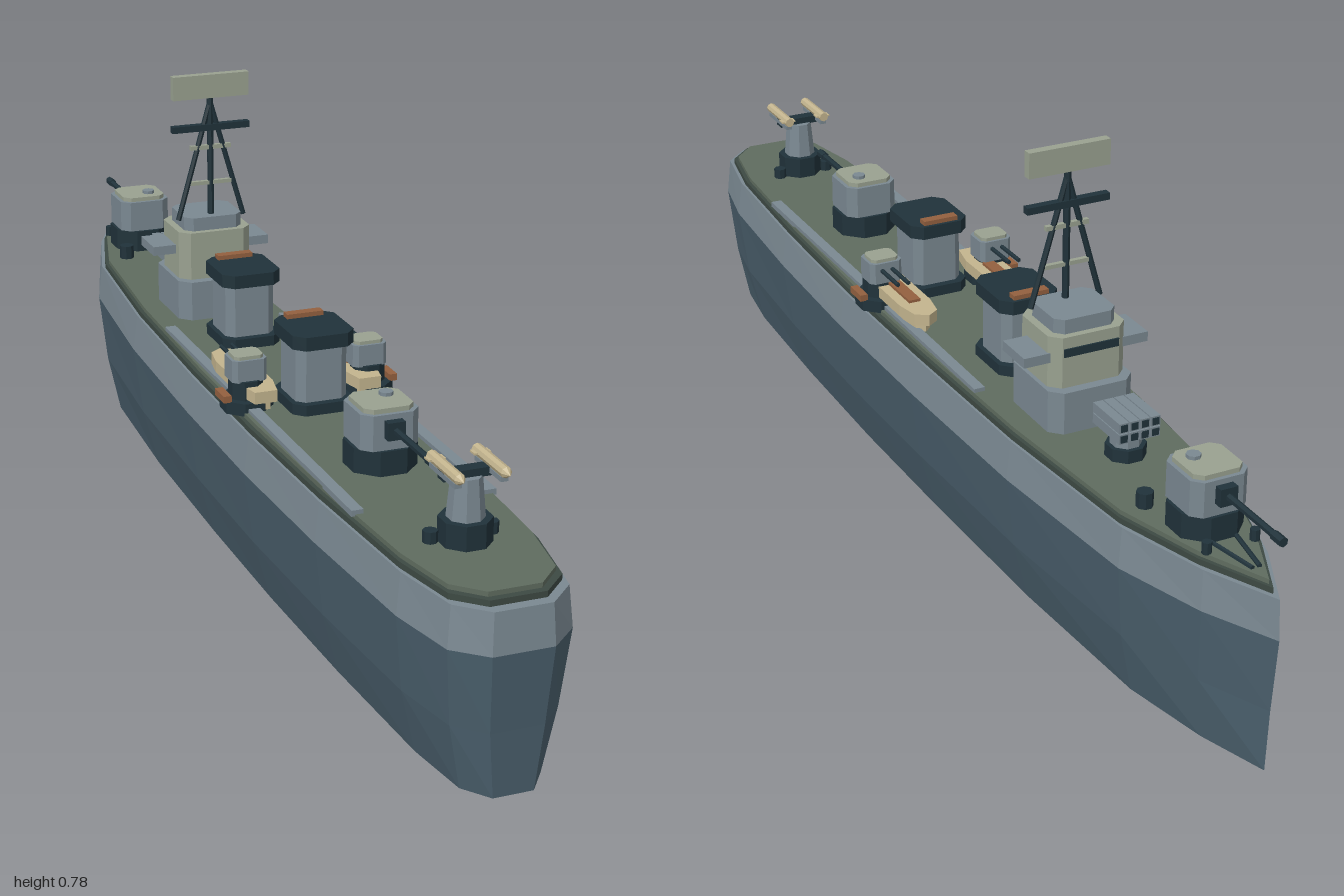
import * as THREE from 'three';

const mat = (name, color) => Object.assign(new THREE.MeshStandardMaterial({ color }), { name });
const M = {
  lower: mat('lower hull blue', 0x4a5f6c),
  grey: mat('ship grey', 0x7a8891),
  deck: mat('deck green', 0x5f6c5f),
  rim: mat('rim green', 0x3d4943),
  dark: mat('dark steel', 0x20323a),
  pale: mat('pale green grey', 0x99a190),
  cream: mat('cream', 0xc3b48e),
  rust: mat('rust orange', 0x93603f),
};

// Faceted mesh
function add(parent, name, geo, material, x = 0, y = 0, z = 0) {
  const g = geo.index ? geo.toNonIndexed() : geo;
  g.computeVertexNormals();
  const m = new THREE.Mesh(g, material);
  m.name = name;
  m.position.set(x, y, z);
  parent.add(m);
  return m;
}
const box = (p, name, m, w, h, d, x, y, z) => add(p, name, new THREE.BoxGeometry(w, h, d), m, x, y, z);
const cyl = (p, name, m, r, y0, y1, x, z, n = 8, rTop = r) =>
  add(p, name, new THREE.CylinderGeometry(rTop, r, y1 - y0, n).rotateY(Math.PI / n), m, x, (y0 + y1) / 2, z);

// Upright prism over an [x, z] outline
function prism(p, name, m, pts, y0, y1, x = 0, z = 0) {
  const shape = new THREE.Shape(pts.map(([a, b]) => new THREE.Vector2(a, -b)));
  const geo = new THREE.ExtrudeGeometry(shape, { depth: y1 - y0, bevelEnabled: false });
  return add(p, name, geo.rotateX(-Math.PI / 2), m, x, y0, z);
}
// Block with cut corners; w and d are half sizes
const chamfer = (w, d, c) => [[w - c, -d], [w, -d + c], [w, d - c], [w - c, d],
  [-w + c, d], [-w, d - c], [-w, -d + c], [-w + c, -d]];

// Round bar between two points
function bar(p, name, m, a, b, r, n = 6) {
  const A = new THREE.Vector3(...a), B = new THREE.Vector3(...b);
  const mesh = add(p, name, new THREE.CylinderGeometry(r, r, A.distanceTo(B), n), m);
  mesh.position.copy(A).add(B).multiplyScalar(0.5);
  mesh.quaternion.setFromUnitVectors(new THREE.Vector3(0, 1, 0), B.sub(A).normalize());
  return mesh;
}

// Plan outline of the hull, bow at -z
const half = [[0.06, -0.88], [0.11, -0.72], [0.138, -0.4], [0.148, -0.05], [0.15, 0.25],
  [0.142, 0.55], [0.125, 0.83], [0.1, 0.955], [0.05, 1]];
const outline = [[0, -1], ...half, ...half.map(([x, z]) => [-x, z]).reverse()];
const scaled = (sx, sz) => outline.map(([x, z]) => [x * sx, z * sz]);

// Skin between hull levels [y, scaleX, scaleZ], with optional caps
function hull(levels, capBottom, capTop) {
  const rings = levels.map(([y, sx, sz]) => scaled(sx, sz).map(([x, z]) => [x, y, z]));
  const n = outline.length, v = [];
  for (let k = 0; k + 1 < rings.length; k++) {
    for (let i = 0; i < n; i++) {
      const j = (i + 1) % n;
      const a = rings[k][i], b = rings[k][j], c = rings[k + 1][j], d = rings[k + 1][i];
      v.push(...a, ...d, ...c, ...a, ...c, ...b);
    }
  }
  for (let i = 0; i < n; i++) {
    const j = (i + 1) % n, lo = rings[0], up = rings[rings.length - 1];
    if (capBottom) v.push(0, lo[0][1], 0, ...lo[i], ...lo[j]);
    if (capTop) v.push(0, up[0][1], 0, ...up[j], ...up[i]);
  }
  return new THREE.BufferGeometry().setAttribute('position', new THREE.Float32BufferAttribute(v, 3));
}

function group(parent, name, x = 0, y = 0, z = 0) {
  const g = new THREE.Group();
  g.name = name;
  g.position.set(x, y, z);
  parent.add(g);
  return g;
}

// Main gun; dir is the z direction of the barrel
function mainGun(parent, name, z, dir) {
  const g = group(parent, name, 0, 0, z);
  cyl(g, 'gunBase', M.dark, 0.06, 0.325, 0.368, 0, 0);
  prism(g, 'turret', M.grey, chamfer(0.05, 0.05, 0.016), 0.368, 0.428);
  prism(g, 'turretRoof', M.pale, chamfer(0.043, 0.043, 0.013), 0.428, 0.436);
  cyl(g, 'hatch', M.grey, 0.012, 0.436, 0.442, 0.015, -dir * 0.015);
  box(g, 'mantlet', M.dark, 0.03, 0.03, 0.02, 0, 0.404, dir * 0.055);
  bar(g, 'barrel', M.dark, [0, 0.404, dir * 0.05], [0, 0.404, dir * 0.2], 0.006);
  bar(g, 'muzzle', M.dark, [0, 0.404, dir * 0.185], [0, 0.404, dir * 0.21], 0.008);
}

function funnel(parent, name, z) {
  const g = group(parent, name, 0, 0, z);
  prism(g, 'funnelBase', M.dark, chamfer(0.055, 0.062, 0.018), 0.325, 0.345);
  prism(g, 'funnelBody', M.grey, chamfer(0.046, 0.048, 0.014), 0.345, 0.442);
  prism(g, 'funnelCap', M.dark, chamfer(0.055, 0.062, 0.018), 0.442, 0.466);
  box(g, 'funnelVent', M.rust, 0.066, 0.01, 0.018, 0, 0.469, -0.047);
}

// Boat and light gun on one side
function sideStation(parent, s) {
  const g = group(parent, s > 0 ? 'leftStation' : 'rightStation');
  const boat = [[0, -0.12], [0.022, -0.105], [0.03, -0.06], [0.03, 0.06], [0.02, 0.11],
    [-0.02, 0.11], [-0.03, 0.06], [-0.03, -0.06], [-0.022, -0.105]];
  const x = s * 0.095;
  prism(g, 'boatKeel', M.cream, boat.map(([a, b]) => [a * 0.65, b * 0.88]), 0.328, 0.345, x, 0.1);
  prism(g, 'boatHull', M.cream, boat, 0.345, 0.366, x, 0.1);
  box(g, 'boatBench', M.rust, 0.022, 0.006, 0.09, x, 0.368, 0.085);
  cyl(g, 'gunPlatform', M.dark, 0.046, 0.32, 0.342, s * 0.11, 0.155);
  cyl(g, 'gunPedestal', M.dark, 0.03, 0.342, 0.375, s * 0.112, 0.155);
  box(g, 'platformLocker', M.rust, 0.014, 0.012, 0.045, s * 0.152, 0.347, 0.155);
  prism(g, 'gunHouse', M.grey, chamfer(0.031, 0.027, 0.008), 0.373, 0.412, s * 0.11, 0.15);
  prism(g, 'gunRoof', M.pale, chamfer(0.026, 0.022, 0.007), 0.412, 0.418, s * 0.11, 0.15);
  for (const o of [-0.01, 0.01])
    bar(g, 'lightBarrel', M.dark, [s * 0.11 + o, 0.398, 0.13], [s * 0.11 + o, 0.398, 0.055], 0.004);
}

export function createModel() {
  const ship = new THREE.Group();
  ship.name = 'warship';

  // Hull and deck
  add(ship, 'lowerHull', hull([[0, 0.667, 0.982], [0.11, 0.88, 0.988], [0.24, 1, 1]], true, false), M.lower);
  add(ship, 'upperHull', hull([[0.24, 1, 1], [0.308, 0.94, 0.995]], false, true), M.grey);
  prism(ship, 'deckRim', M.rim, scaled(0.91, 0.977), 0.306, 0.318);
  prism(ship, 'deck', M.deck, scaled(0.86, 0.965), 0.318, 0.326);
  for (const s of [-1, 1]) box(ship, 'sideWalkway', M.grey, 0.02, 0.01, 0.9, s * 0.112, 0.328, 0.2);

  // Guns and funnels
  mainGun(ship, 'forwardGun', -0.785, -1);
  mainGun(ship, 'aftGun', 0.475, 1);
  funnel(ship, 'forwardFunnel', -0.165);
  funnel(ship, 'aftFunnel', 0.185);
  for (const s of [-1, 1]) sideStation(ship, s);

  // Bow fittings
  for (const s of [-1, 1]) {
    cyl(ship, 'bollard', M.dark, 0.014, 0.325, 0.352, s * 0.055, -0.7);
    cyl(ship, 'mooringPost', M.dark, 0.008, 0.325, 0.345, s * 0.042, -0.86);
    bar(ship, 'anchorChain', M.dark, [s * 0.022, 0.328, -0.84], [s * 0.006, 0.328, -0.93], 0.004);
    cyl(ship, 'sternPost', M.dark, 0.012, 0.325, 0.345, s * 0.05, 0.78);
  }

  // Bridge
  const bridge = group(ship, 'bridge', 0, 0, -0.365);
  prism(bridge, 'bridgeLower', M.grey, chamfer(0.077, 0.08, 0.02), 0.325, 0.4);
  prism(bridge, 'bridgeUpper', M.pale, chamfer(0.07, 0.062, 0.018), 0.4, 0.49);
  prism(bridge, 'bridgeRoof', M.grey, chamfer(0.056, 0.05, 0.014), 0.49, 0.515);
  box(bridge, 'bridgeWindows', M.dark, 0.1, 0.014, 0.006, 0, 0.463, -0.062);
  for (const s of [-1, 1]) box(bridge, 'bridgeWing', M.grey, 0.05, 0.017, 0.075, s * 0.089, 0.452, -0.01);

  // Mast and radar
  const mast = group(ship, 'mast', 0, 0, -0.338);
  bar(mast, 'mastPole', M.dark, [0, 0.51, 0], [0, 0.742, 0], 0.006);
  for (const s of [-1, 1]) bar(mast, 'mastLeg', M.dark, [s * 0.064, 0.508, 0], [0, 0.73, 0], 0.005);
  box(mast, 'yard', M.dark, 0.15, 0.012, 0.014, 0, 0.682, 0);
  box(mast, 'upperBrace', M.pale, 0.078, 0.008, 0.008, 0, 0.644, 0);
  box(mast, 'lowerBrace', M.pale, 0.08, 0.007, 0.008, 0, 0.576, 0);
  box(mast, 'radarPanel', M.pale, 0.147, 0.044, 0.016, 0, 0.76, 0);

  // Tube launcher ahead of the bridge
  const launcher = group(ship, 'tubeLauncher', 0, 0, -0.545);
  cyl(launcher, 'launcherBase', M.dark, 0.034, 0.325, 0.348, 0, 0);
  cyl(launcher, 'launcherPedestal', M.grey, 0.026, 0.348, 0.372, 0, 0);
  for (let i = 0; i < 4; i++) {
    for (let j = 0; j < 2; j++) {
      const x = (i - 1.5) * 0.019, y = 0.38 + j * 0.019;
      box(launcher, 'launchTube', M.grey, 0.017, 0.017, 0.085, x, y, 0);
      box(launcher, 'tubeMouth', M.dark, 0.012, 0.012, 0.004, x, y, -0.042);
    }
  }

  // Twin missile launcher on the stern
  const stern = group(ship, 'sternLauncher', 0, 0, 0.795);
  cyl(stern, 'sternBase', M.dark, 0.042, 0.325, 0.366, 0, 0);
  cyl(stern, 'sternPedestal', M.grey, 0.03, 0.366, 0.432, 0, 0, 8, 0.024);
  box(stern, 'crossArm', M.dark, 0.085, 0.014, 0.022, 0, 0.437, 0);
  for (const s of [-1, 1]) {
    box(stern, 'launchRail', M.grey, 0.012, 0.008, 0.09, s * 0.037, 0.439, 0.005);
    bar(stern, 'missile', M.cream, [s * 0.037, 0.451, -0.045], [s * 0.037, 0.451, 0.055], 0.009, 8);
    add(stern, 'missileNose', new THREE.ConeGeometry(0.009, 0.014, 8).rotateX(Math.PI / 2), M.cream, s * 0.037, 0.451, 0.062);
    box(stern, 'missileFins', M.cream, 0.028, 0.003, 0.016, s * 0.037, 0.451, -0.032);
  }
  return ship;
}
